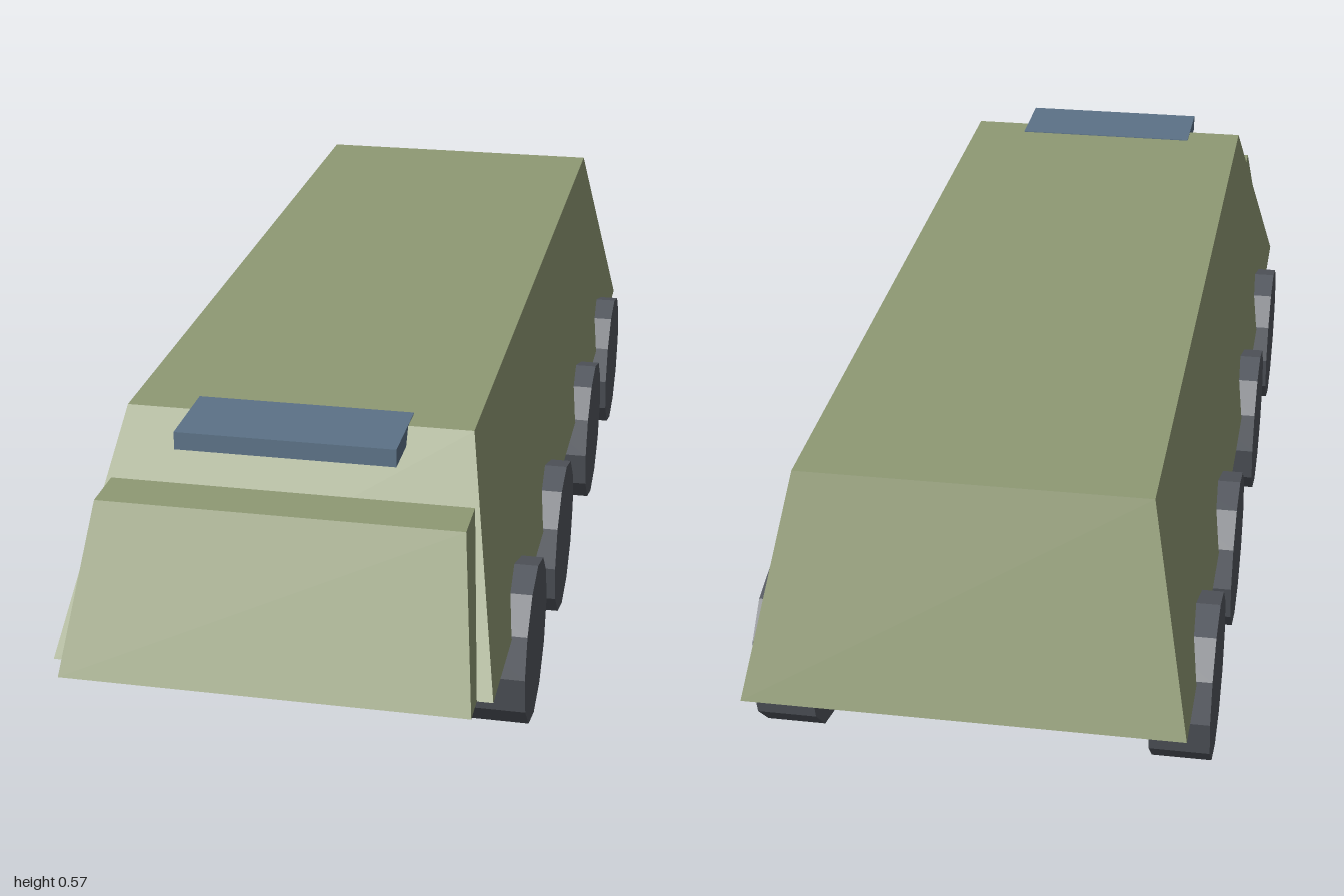
import * as THREE from 'three';

const paint = new THREE.MeshStandardMaterial({ name: 'olive paint', color: 0x8f9974, flatShading: true });
const rubber = new THREE.MeshStandardMaterial({ name: 'dark rubber', color: 0x53575e, flatShading: true });
const glass = new THREE.MeshStandardMaterial({ name: 'blue glass', color: 0x5c7287, flatShading: true });

// Box with separate half-width and z range at its bottom and top
function taperedBox(bottom, top) {
  const geo = new THREE.BoxGeometry(2, 1, 1);
  const p = geo.attributes.position;
  for (let i = 0; i < p.count; i++) {
    const s = p.getY(i) > 0 ? top : bottom;
    p.setXYZ(i, p.getX(i) * s.halfWidth, s.y, p.getZ(i) > 0 ? s.front : s.back);
  }
  geo.computeVertexNormals();
  return geo;
}

export function createModel() {
  const model = new THREE.Group();
  model.name = 'armouredVehicle';

  function add(name, geometry, material, x = 0, y = 0, z = 0) {
    const mesh = new THREE.Mesh(geometry, material);
    mesh.name = name;
    mesh.position.set(x, y, z);
    model.add(mesh);
  }

  // Sloped hull and the wedge nose set into its front
  add('hull', taperedBox(
    { y: 0.207, halfWidth: 0.358, front: 0.945, back: -1 },
    { y: 0.566, halfWidth: 0.287, front: 0.72, back: -0.875 }), paint);
  add('nose', taperedBox(
    { y: 0.207, halfWidth: 0.332, front: 1, back: 0.9 },
    { y: 0.462, halfWidth: 0.3, front: 0.873, back: 0.75 }), paint);

  // Windscreen visor over the front edge of the roof
  add('visor', new THREE.BoxGeometry(0.36, 0.03, 0.152), glass, 0, 0.5525, 0.744);

  // Four twelve-sided wheels on each side
  const wheel = new THREE.CylinderGeometry(0.1415, 0.1415, 0.101, 12).rotateZ(Math.PI / 2);
  for (const [side, x] of [['left', 0.333], ['right', -0.333]]) {
    [0.615, 0.205, -0.31, -0.72].forEach((z, i) =>
      add(`${side}Wheel${i + 1}`, wheel, rubber, x, 0.1415, z));
  }
  return model;
}
